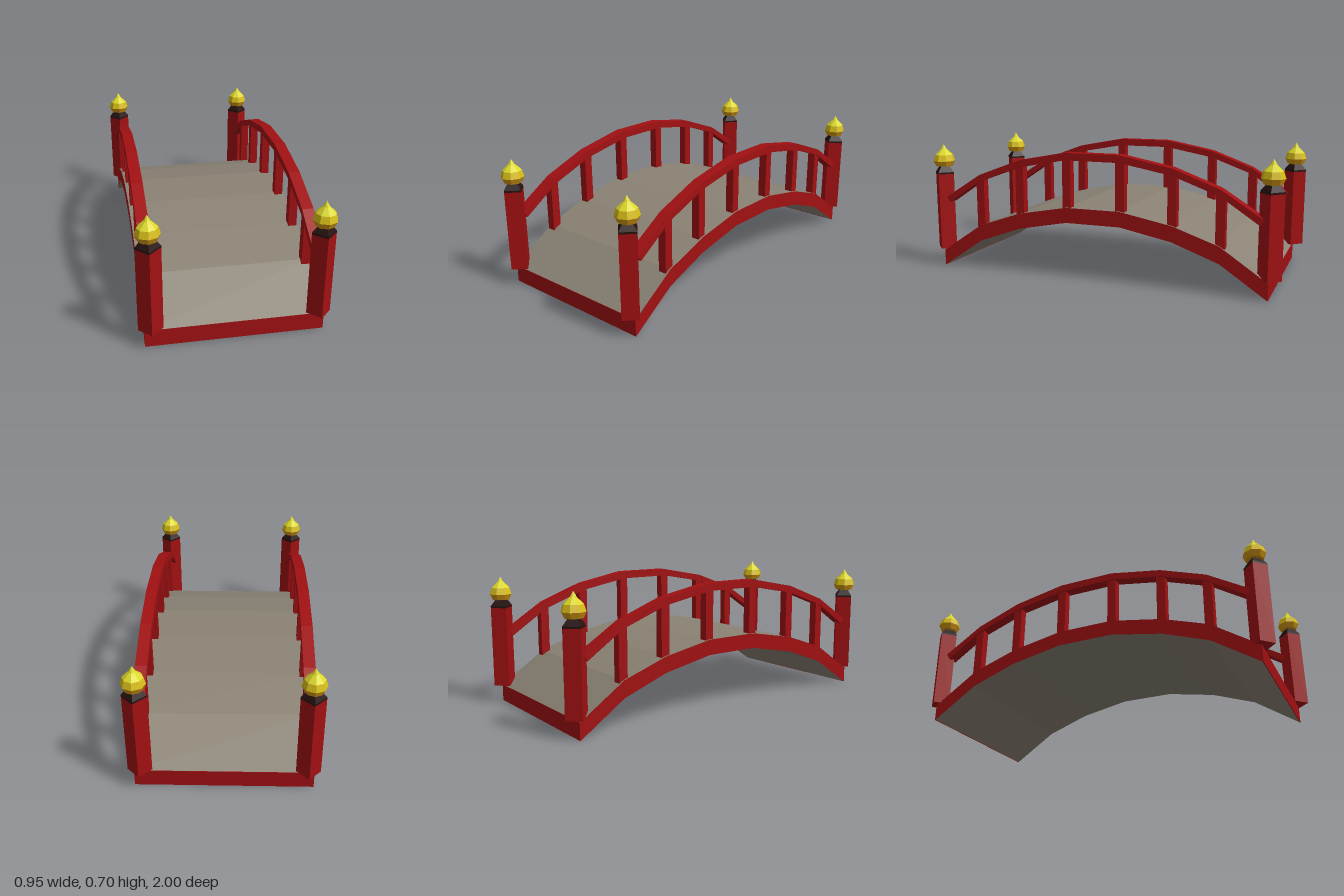
import * as THREE from 'three';

const mat = (name, color) => {
  const m = new THREE.MeshStandardMaterial({ color, flatShading: true });
  m.name = name;
  return m;
};

export function createModel() {
  const red = mat('red lacquer', 0xa01012);
  const stone = mat('grey deck', 0x8a8274);
  const dark = mat('dark cap', 0x261210);
  const goldTop = mat('yellow gold', 0xdcd82a);
  const goldMid = mat('gold', 0xd8be18);
  const goldLow = mat('orange gold', 0xcf9412);

  const bridge = new THREE.Group();
  bridge.name = 'archedBridge';
  const add = (parent, name, geo, material, x = 0, y = 0, z = 0) => {
    const mesh = new THREE.Mesh(geo, material);
    mesh.name = name;
    mesh.position.set(x, y, z);
    parent.add(mesh);
    return mesh;
  };

  // Symmetric arched strip: half outlines as [z, y] from the middle outward
  const arch = (top, bottom, width) => {
    const mirror = (half) => [...half.map(([z, y]) => [-z, y]).reverse(), ...half];
    const outline = [...mirror(bottom), ...mirror(top).reverse()];
    const shape = new THREE.Shape(outline.map(([z, y]) => new THREE.Vector2(z, y)));
    const geo = new THREE.ExtrudeGeometry(shape, { depth: width, bevelEnabled: false });
    geo.translate(0, 0, -width / 2);
    geo.rotateY(-Math.PI / 2);
    return geo;
  };

  // Deck: red side faces, grey top and underside, red end plates
  add(bridge, 'deck', arch(
    [[0.155, 0.393], [0.44, 0.34], [0.69, 0.255], [0.938, 0.09]],
    [[0.155, 0.31], [0.44, 0.255], [0.69, 0.165], [0.938, 0]],
    0.89), [red, stone]);
  for (const s of [-1, 1]) {
    add(bridge, 'deckEnd', new THREE.BoxGeometry(0.89, 0.09, 0.004), red, 0, 0.045, s * 0.938);
  }

  // Handrails with balusters
  const railGeo = arch(
    [[0.155, 0.69], [0.44, 0.636], [0.69, 0.543], [0.91, 0.405]],
    [[0.155, 0.65], [0.44, 0.598], [0.69, 0.507], [0.89, 0.375]],
    0.06);
  const balusters = [[0.153, 0.37, 0.665], [0.438, 0.32, 0.615], [0.69, 0.23, 0.522]];
  for (const side of [-1, 1]) {
    const x = side * 0.414;
    add(bridge, 'handrail', railGeo, red, x);
    for (const end of [-1, 1]) {
      for (const [z, y0, y1] of balusters) {
        add(bridge, 'baluster', new THREE.BoxGeometry(0.045, y1 - y0, 0.048), red,
          x, (y0 + y1) / 2, end * z);
      }
    }
  }

  // Corner posts: diamond-set square shaft, dark cap and faceted finial
  const turned = (points, sides) =>
    new THREE.LatheGeometry(points.map(([r, y]) => new THREE.Vector2(r, y)), sides);
  const shaft = turned([[0, 0.1], [0.061, 0.1], [0.061, 0.536], [0, 0.536]], 4);
  const cap = turned([[0, 0.536], [0.061, 0.536], [0.061, 0.546], [0.03, 0.582], [0, 0.582]], 4);
  const bulbLow = turned([[0, 0.58], [0.047, 0.58], [0.061, 0.61]], 8);
  const bulbMid = turned([[0.061, 0.61], [0.05, 0.645]], 8);
  const bulbTop = turned([[0.05, 0.645], [0.017, 0.676], [0, 0.705]], 8);
  for (const sx of [-1, 1]) {
    for (const sz of [-1, 1]) {
      const post = new THREE.Group();
      post.name = 'cornerPost';
      post.position.set(sx * 0.414, 0, sz * 0.939);
      add(post, 'postShaft', shaft, red);
      add(post, 'postCap', cap, dark);
      add(post, 'finialBase', bulbLow, goldLow);
      add(post, 'finialBand', bulbMid, goldMid);
      add(post, 'finialTip', bulbTop, goldTop);
      bridge.add(post);
    }
  }
  return bridge;
}
